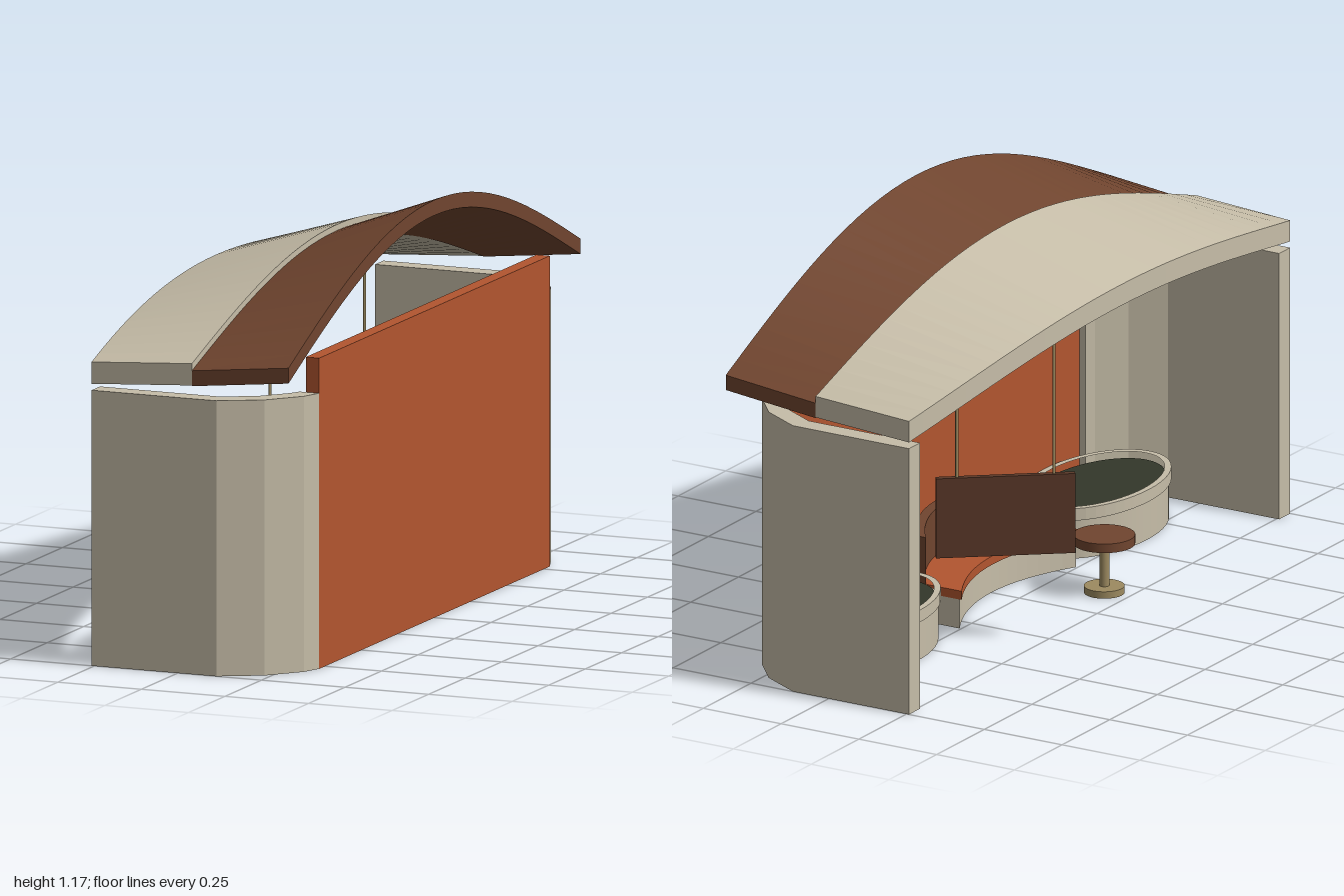
import * as THREE from 'three';

const paint = (name, color) => {
  const m = new THREE.MeshStandardMaterial({ color });
  m.name = name;
  return m;
};

export function createModel() {
  const cream = paint('cream', 0xc6bda8);
  const orange = paint('terracotta', 0xb2552f);
  const brown = paint('walnut', 0x70452f);
  const darkBrown = paint('darkWalnut', 0x5a3828);
  const brass = paint('brass', 0x9c8a60);
  const soil = paint('darkGreen', 0x33372a);

  const model = new THREE.Group();
  model.name = 'shelter';

  const add = (name, geometry, material, x = 0, y = 0, z = 0, parent = model) => {
    const mesh = new THREE.Mesh(geometry, material);
    mesh.name = name;
    mesh.position.set(x, y, z);
    parent.add(mesh);
    return mesh;
  };
  const box = (w, h, d) => new THREE.BoxGeometry(w, h, d);
  const rod = (r, h, n = 16) => new THREE.CylinderGeometry(r, r, h, n);

  // Extrudes a floor plan, given as [x, z] points, upwards
  const plan = (points, height, hole) => {
    const toV = ([x, z]) => new THREE.Vector2(x, -z);
    const shape = new THREE.Shape(points.map(toV));
    if (hole) shape.holes.push(new THREE.Path(hole.map(toV)));
    return new THREE.ExtrudeGeometry(shape, { depth: height, bevelEnabled: false }).rotateX(-Math.PI / 2);
  };

  // Back wall
  add('backWall', box(0.04, 0.868, 1.58), orange, 0.311, 0.434, 0);

  // End walls with a faceted rounded corner
  const outer = [[-0.258, 1], [0.115, 1], [0.232, 0.936], [0.31, 0.845], [0.331, 0.79]];
  const inner = [[0.272, 0.79], [0.258, 0.818], [0.195, 0.89], [0.1, 0.942], [-0.258, 0.942]];
  for (const s of [1, -1]) {
    const points = [...outer, ...inner].map(([x, z]) => [x, z * s]);
    add(s > 0 ? 'frontEndWall' : 'rearEndWall', plan(points, 0.77), cream);
  }

  // Arched roof panel: four-cornered sections swept along z
  const roofPanel = (section, steps = 32) => {
    const pos = [], idx = [];
    for (let k = 0; k <= steps; k++) {
      const z = -1 + (2 * k) / steps;
      for (const [x, y] of section(z)) pos.push(x, y, z);
    }
    for (let k = 0; k < steps; k++) {
      for (let i = 0; i < 4; i++) {
        const j = (i + 1) % 4, a = k * 4 + i, b = k * 4 + j;
        idx.push(a, b, b + 4, a, b + 4, a + 4);
      }
    }
    const e = steps * 4;
    idx.push(0, 2, 1, 0, 3, 2, e, e + 1, e + 2, e, e + 2, e + 3);
    const g = new THREE.BufferGeometry();
    g.setAttribute('position', new THREE.Float32BufferAttribute(pos, 3));
    g.setIndex(idx);
    const flat = g.toNonIndexed();
    flat.computeVertexNormals();
    return flat;
  };
  const arch = (z) => Math.cos((z * Math.PI) / 2);
  const roofSection = (x0, y0, rise0, x1, y1, rise1, t) => (z) => {
    const a = y0 + rise0 * arch(z), b = y1 + rise1 * arch(z), x = x0(z);
    return [[x, a - t], [x1, b - t], [x1, b], [x, a]];
  };
  add('frontRoof', roofPanel(roofSection((z) => -0.322 + 0.064 * z * z, 0.849, 0.114, 0.042, 0.868, 0.209, 0.061)), cream);
  add('backRoof', roofPanel(roofSection(() => 0.042, 0.848, 0.212, 0.331, 0.878, 0.289, 0.043)), brown);

  // Oval planters
  const oval = (rx, rz) => Array.from({ length: 48 }, (_, i) => {
    const a = (i / 48) * Math.PI * 2;
    return [rx * Math.cos(a), rz * Math.sin(a)];
  });
  for (const s of [1, -1]) {
    const planter = new THREE.Group();
    planter.name = s > 0 ? 'frontPlanter' : 'rearPlanter';
    planter.position.set(0.122, 0, s * 0.605);
    model.add(planter);
    const body = new THREE.CylinderGeometry(1, 1, 0.12, 48).scale(0.162, 1, 0.272);
    add('planterBody', body, cream, 0, 0.06, 0, planter);
    add('planterRim', plan(oval(0.168, 0.28), 0.035, oval(0.15, 0.26)), cream, 0, 0.112, 0, planter);
    add('planterSoil', rod(1, 0.006, 48).scale(0.152, 1, 0.262), soil, 0, 0.124, 0, planter);
  }

  // Curved bench: strips between two bowed edges
  const strip = (xa, bowA, xb, bowB, half) => {
    const edge = (x, bow) => Array.from({ length: 17 }, (_, i) => {
      const t = -1 + i / 8;
      return [x + bow * (1 - t * t), t * half];
    });
    return [...edge(xa, bowA), ...edge(xb, bowB).reverse()];
  };
  const bench = new THREE.Group();
  bench.name = 'bench';
  model.add(bench);
  add('benchBase', plan(strip(0.005, 0.085, 0.13, 0.115, 0.305), 0.085), cream, 0, 0, 0, bench);
  add('benchSeat', plan(strip(-0.003, 0.085, 0.13, 0.115, 0.308), 0.025), orange, 0, 0.085, 0, bench);
  add('benchBack', plan(strip(0.112, 0.113, 0.142, 0.113, 0.308), 0.165), brown, 0, 0.08, 0, bench);

  // Small pedestal table
  const table = new THREE.Group();
  table.name = 'pedestalTable';
  table.position.set(-0.172, 0, 0.165);
  model.add(table);
  add('tableBase', rod(0.056, 0.02, 32), brass, 0, 0.01, 0, table);
  add('tablePost', rod(0.014, 0.14), brass, 0, 0.08, 0, table);
  add('tableTop', rod(0.085, 0.026, 32), brown, 0, 0.155, 0, table);

  // Hanging screen on two rods
  const screen = new THREE.Group();
  screen.name = 'hangingScreen';
  screen.position.set(-0.18, 0, -0.367);
  screen.rotation.y = Math.atan2(0.167, 0.21);
  model.add(screen);
  add('screenPanel', box(0.385, 0.23, 0.018), darkBrown, 0, 0.38, 0, screen);
  for (const [x, top] of [[-0.134, 0.91], [0.134, 0.945]]) {
    add('screenRod', rod(0.0045, top - 0.49, 10), brass, x, (top + 0.49) / 2, 0, screen);
  }

  // Small lamps under the roof
  for (const z of [0.285, -0.22]) {
    add('ceilingLamp', rod(0.018, 0.03), brass, -0.13, 0.957, z);
  }

  return model;
}
